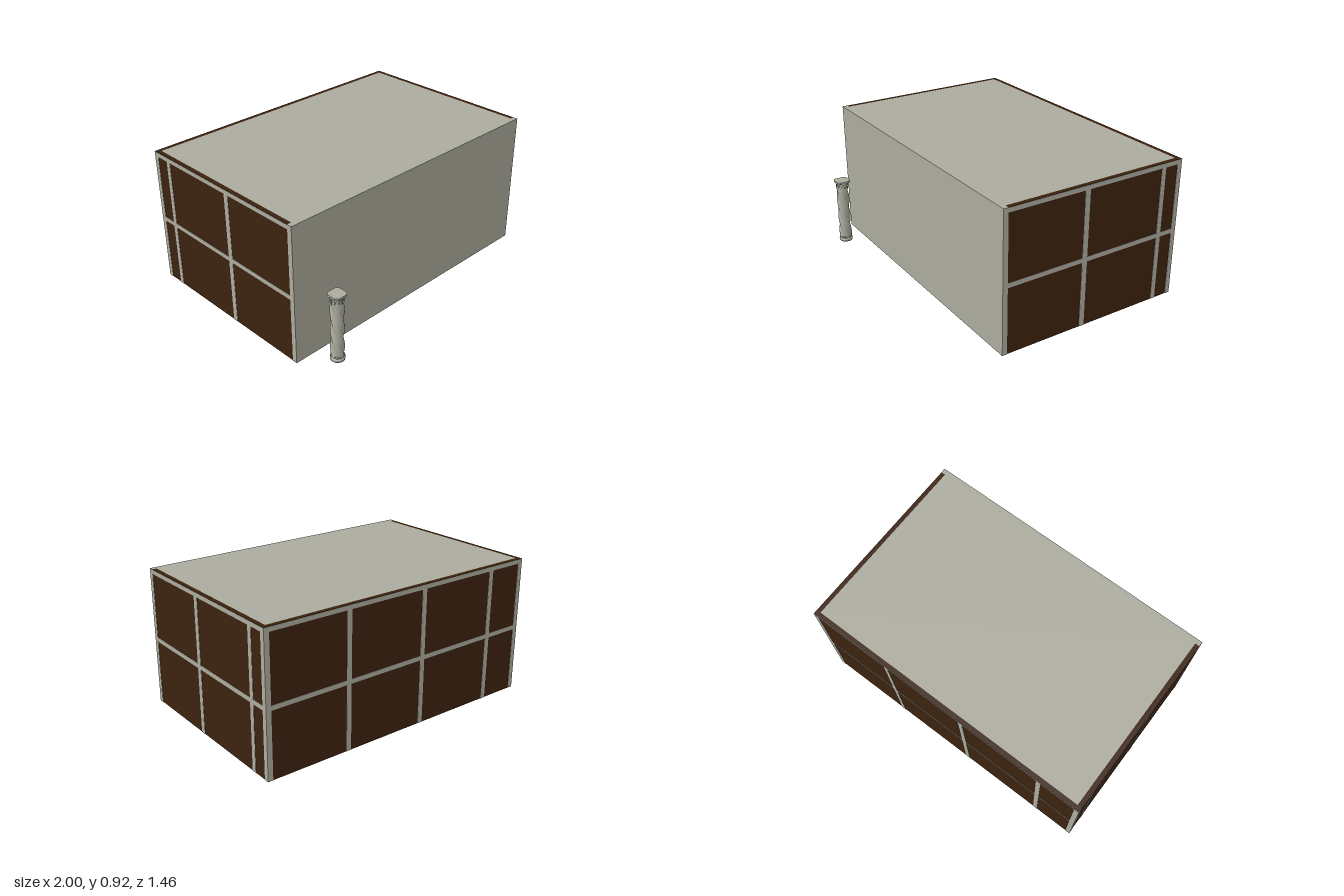
import * as THREE from 'three';
import { mergeVertices } from 'three/addons/utils/BufferGeometryUtils.js';

const H = 0.915, T = 0.03, SKIN = 0.002; // wall height, wall thickness, strip relief
const FRONT = 0.55, BACK = -0.73;

export function createModel() {
  const stone = new THREE.MeshStandardMaterial({ color: 0xacab9e });
  stone.name = 'stone';
  const wood = new THREE.MeshStandardMaterial({ color: 0x3c220e });
  wood.name = 'darkWood';
  const model = new THREE.Group();
  model.name = 'hallWithColumn';

  const add = (parent, name, geometry, material) => {
    const mesh = new THREE.Mesh(geometry, material);
    mesh.name = name;
    parent.add(mesh);
    return mesh;
  };
  // box given by its two extreme corners
  const box = (parent, name, material, x0, x1, y0, y1, z0, z1) => {
    const mesh = add(parent, name, new THREE.BoxGeometry(x1 - x0, y1 - y0, z1 - z0), material);
    mesh.position.set((x0 + x1) / 2, (y0 + y1) / 2, (z0 + z1) / 2);
  };

  // Hall: stone front and roof, wooden back and sides, open underneath
  const hall = new THREE.Group();
  hall.name = 'hall';
  model.add(hall);
  box(hall, 'frontWall', stone, -1, 1, 0, H, FRONT - 0.033, FRONT);
  box(hall, 'roof', stone, -1 + T, 1 - T, H - T, H, BACK + T, FRONT - 0.033);
  box(hall, 'backWall', wood, -1 + SKIN, 1 - SKIN, 0, H, BACK + SKIN, BACK + T);

  // Horizontal rails and vertical posts laid thinly on the walls
  const rails = [[0.43, 0.46], [0.885, H - SKIN]];
  for (const s of [1, -1]) {
    const side = s > 0 ? 'left' : 'right';
    const span = (a, b) => (s > 0 ? [a, b] : [-b, -a]);
    box(hall, side + 'Wall', wood, ...span(1 - T, 1 - SKIN), 0, H, BACK + T, FRONT - 0.033);
    for (const [y0, y1] of rails)
      box(hall, side + 'Rail', stone, ...span(1 - SKIN, 1), y0, y1, BACK, FRONT - 0.033);
    for (const [z0, z1] of [[-0.035, 0], [-0.605, -0.573], [BACK, -0.697]])
      box(hall, side + 'Post', stone, ...span(1 - SKIN, 1), 0, H - SKIN, z0, z1);
  }
  for (const [y0, y1] of rails)
    box(hall, 'backRail', stone, -1, 1, y0, y1, BACK, BACK + SKIN);
  for (const x of [0.983, 0.43, -0.14, -0.713, -0.983])
    box(hall, 'backPost', stone, x - 0.017, x + 0.017, 0, H - SKIN, BACK, BACK + SKIN);

  // Free-standing column
  const column = new THREE.Group();
  column.name = 'column';
  column.position.set(-0.8, 0, 0.682);
  model.add(column);
  const lathe = (name, points) =>
    add(column, name, new THREE.LatheGeometry(points.map(p => new THREE.Vector2(...p)), 32), stone);

  lathe('base', [[0, 0], [0.044, 0], [0.044, 0.008], [0.046, 0.011], [0.046, 0.016], [0.043, 0.019],
    [0.039, 0.021], [0.039, 0.024], [0.042, 0.026], [0.042, 0.031], [0.039, 0.034], [0, 0.034]]);

  // Four-lobed shaft, twisted as it rises
  const y0 = 0.03, len = 0.38, lobes = 4;
  let shaft = new THREE.CylinderGeometry(1, 1, len, 48, 64, true);
  const pos = shaft.attributes.position;
  for (let i = 0; i < pos.count; i++) {
    const a = Math.atan2(pos.getZ(i), pos.getX(i));
    const y = pos.getY(i) + len / 2;
    const r = 0.0385 + 0.0045 * Math.cos(lobes * (a - (y / len) * Math.PI * 1.5));
    pos.setXYZ(i, r * Math.cos(a), y0 + y, r * Math.sin(a));
  }
  shaft.deleteAttribute('uv');
  shaft.deleteAttribute('normal');
  shaft = mergeVertices(shaft);
  shaft.computeVertexNormals();
  add(column, 'twistedShaft', shaft, stone);

  // Capital: bell, ring of pointed leaves and a slab with cut corners
  lathe('capitalBell', [[0.034, 0.4], [0.035, 0.42], [0.038, 0.435], [0.044, 0.446], [0, 0.446]]);
  for (let i = 0; i < 12; i++) {
    const leaf = add(column, 'capitalLeaf', new THREE.ConeGeometry(0.009, 0.046, 6), stone);
    const a = (i / 12) * Math.PI * 2;
    leaf.scale.z = 0.5;
    leaf.rotation.set(Math.PI - 0.15, a, 0, 'YXZ');
    leaf.position.set(Math.sin(a) * 0.0405, 0.422, Math.cos(a) * 0.0405);
  }
  const w = 0.047, c = 0.03;
  const slab = new THREE.Shape([[w, -c], [w, c], [c, w], [-c, w], [-w, c], [-w, -c], [-c, -w], [c, -w]]
    .map(p => new THREE.Vector2(...p)));
  const top = add(column, 'capitalSlab',
    new THREE.ExtrudeGeometry(slab, { depth: 0.014, bevelEnabled: false }), stone);
  top.rotation.x = -Math.PI / 2;
  top.position.y = 0.444;

  return model;
}
